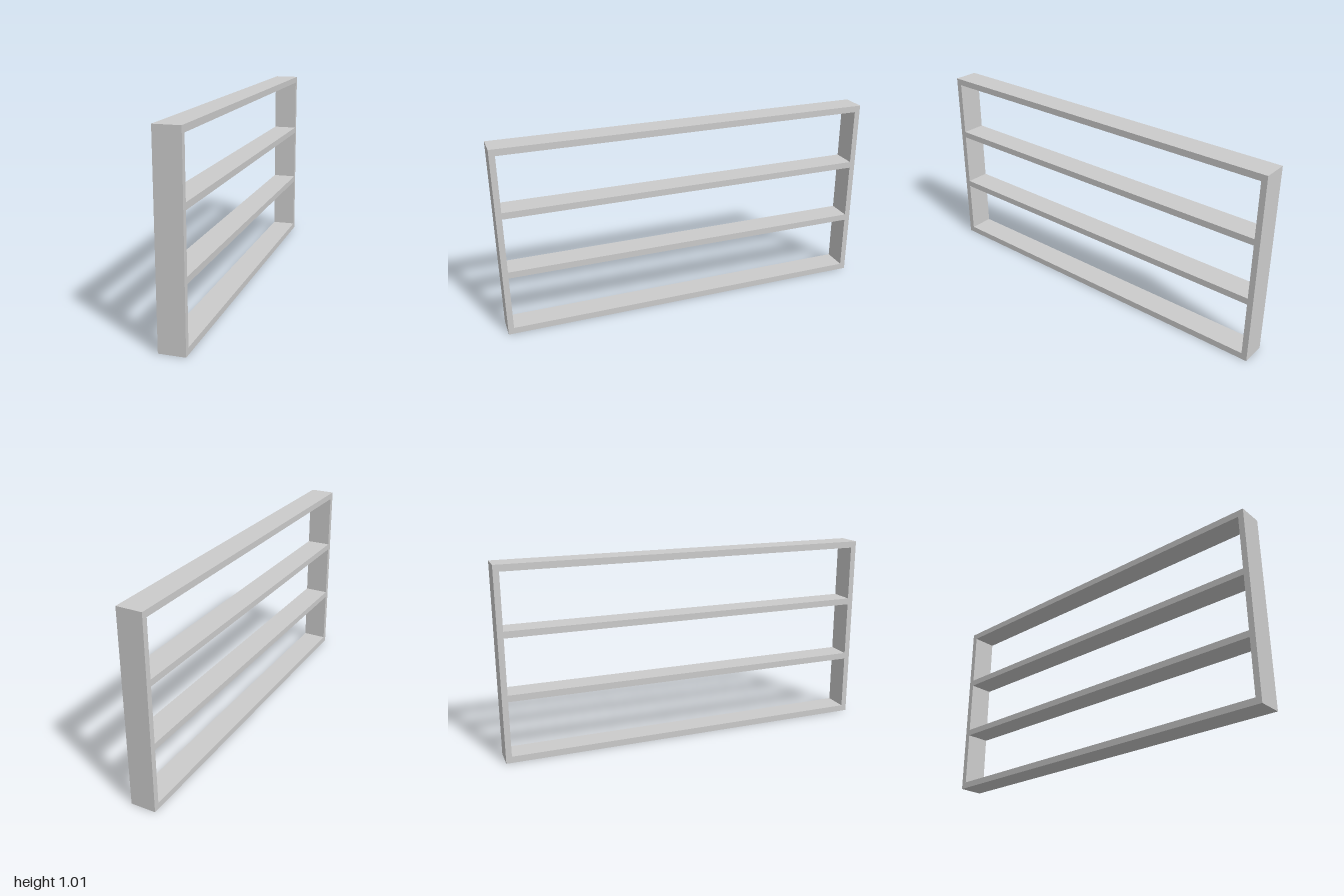
import * as THREE from 'three';

const LENGTH = 2, HEIGHT = 1.01, DEPTH = 0.132;
const POST = 0.03, RAIL = 0.034, BAYS = 3;

// Rectangle outline from its lower left corner
function rect(path, x, y, w, h) {
  path.moveTo(x, y);
  path.lineTo(x + w, y);
  path.lineTo(x + w, y + h);
  path.lineTo(x, y + h);
  path.closePath();
  return path;
}

export function createModel() {
  const group = new THREE.Group();
  group.name = 'shelfUnit';

  // Outer frame with one opening per bay; the strips left between are the shelves
  const outline = rect(new THREE.Shape(), -LENGTH / 2, 0, LENGTH, HEIGHT);
  const pitch = (HEIGHT - RAIL) / BAYS;
  for (let i = 0; i < BAYS; i++) {
    outline.holes.push(
      rect(new THREE.Path(), -LENGTH / 2 + POST, i * pitch + RAIL, LENGTH - 2 * POST, pitch - RAIL)
    );
  }

  // Extrude through the depth, then turn the long side along z
  const geometry = new THREE.ExtrudeGeometry(outline, { depth: DEPTH, bevelEnabled: false });
  geometry.translate(0, 0, -DEPTH / 2);
  geometry.rotateY(Math.PI / 2);

  const frame = new THREE.Mesh(
    geometry,
    new THREE.MeshStandardMaterial({ color: 0xcccccc, flatShading: true })
  );
  frame.name = 'frameWithShelves';
  group.add(frame);
  return group;
}
